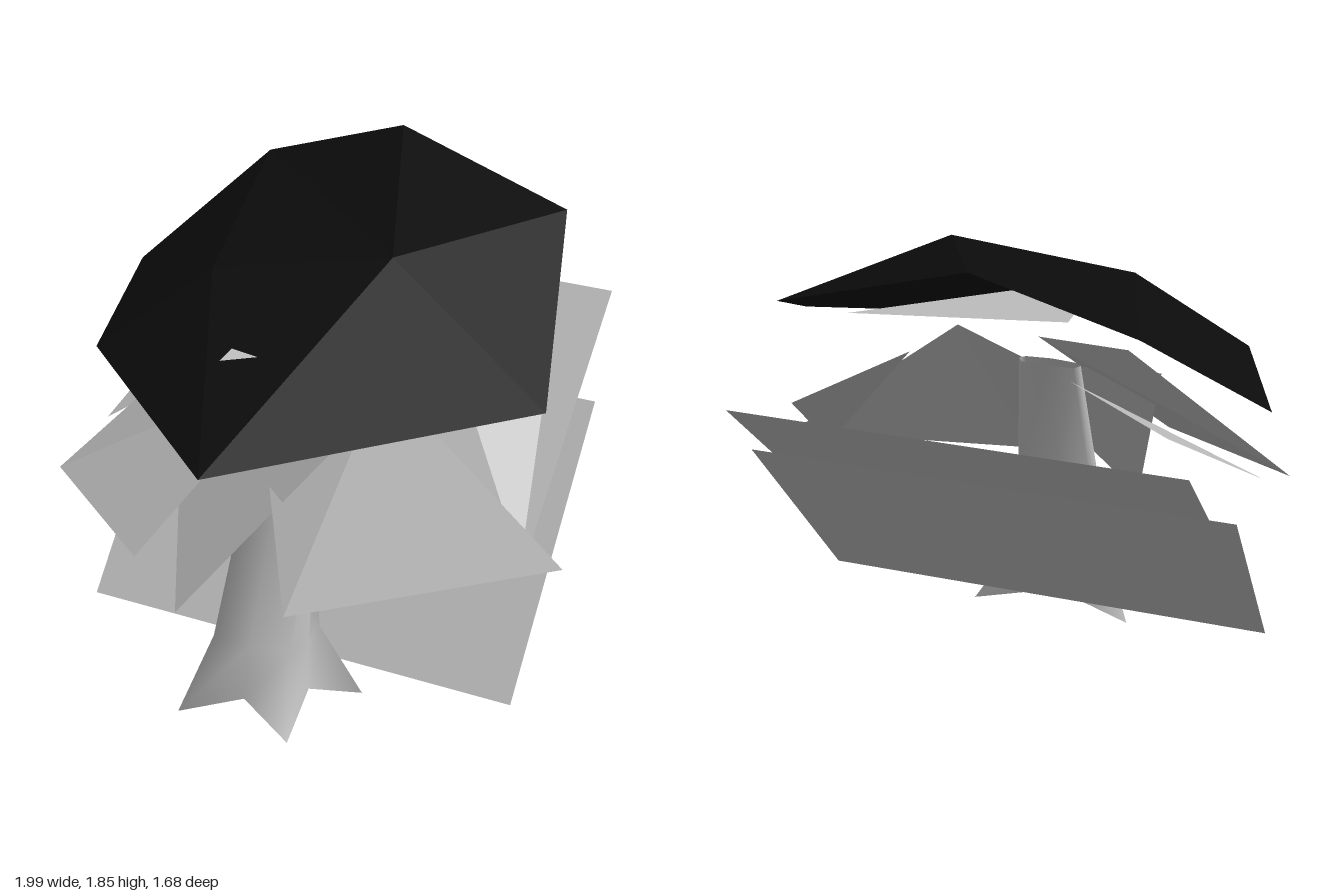
import * as THREE from 'three';

const leafGrey = new THREE.MeshStandardMaterial({ color: 0xc0c0c0, side: THREE.DoubleSide });
leafGrey.name = 'pale grey';
const canopyBlack = new THREE.MeshStandardMaterial({ color: 0x0c0c0c, side: THREE.DoubleSide });
canopyBlack.name = 'black';

// Mesh from corner points and triangles; flat unless smooth is set
function facets(name, points, faces, material, smooth = false) {
  let geometry = new THREE.BufferGeometry();
  geometry.setAttribute('position', new THREE.Float32BufferAttribute(points.flat(), 3));
  geometry.setIndex(faces.flat());
  if (!smooth) geometry = geometry.toNonIndexed();
  geometry.computeVertexNormals();
  const mesh = new THREE.Mesh(geometry, material);
  mesh.name = name;
  return mesh;
}

// Flat card with three or four corners
function card(name, ...corners) {
  const faces = corners.length === 4 ? [[0, 1, 2], [0, 2, 3]] : [[0, 1, 2]];
  return facets(name, corners, faces, leafGrey);
}

// Trunk: eight-sided rings, with the lowest ring pulled out into four root tips
function trunk() {
  const points = [
    [-0.28, 0.01, 0.7], [-0.06, 0.07, 0.6], [0.17, 0.01, 0.7], [0.12, 0.075, 0.44],
    [0.26, 0.01, 0.285], [-0.06, 0.07, 0.35], [-0.37, 0.01, 0.285], [-0.22, 0.075, 0.44],
  ];
  // height, left, right, front, back
  const rings = [
    [0.27, -0.23, 0.12, 0.56, 0.315],
    [0.62, -0.22, 0.1, 0.4, 0.31],
    [1.12, -0.18, 0.06, 0.27, 0.21],
  ];
  for (const [y, l, r, f, b] of rings) {
    const x = (l + r) / 2, z = (f + b) / 2, inset = 0.02;
    points.push(
      [l + inset, y, f - 0.01], [x, y, f], [r - inset, y, f - 0.01], [r, y, z],
      [r - inset, y, b], [x, y, b], [l + inset, y, b], [l, y, z],
    );
  }
  const faces = [];
  for (let k = 0; k < rings.length; k++) {
    for (let i = 0; i < 8; i++) {
      const a = k * 8 + i, b = k * 8 + ((i + 1) % 8);
      faces.push([a, b, b + 8], [a, b + 8, a + 8]);
    }
  }
  return facets('trunk', points, faces, leafGrey, true);
}

// Canopy: seven-sided faceted dome, tilted forward, with two inner peaks
function canopy() {
  const points = [
    [-1, 1.31, -0.3], [-0.64, 1.69, -0.69], [-0.08, 1.86, -0.72], [0.61, 1.65, -0.67],
    [0.89, 1.24, 0.18], [-0.08, 1.06, 0.84], [-0.78, 1.23, 0.37],
    [0.26, 1.65, 0.07], [-0.39, 1.54, 0.19],
  ];
  const faces = [
    [7, 3, 2], [7, 4, 3], [7, 5, 4], [7, 8, 5], [7, 2, 1], [7, 1, 8],
    [8, 6, 5], [8, 0, 6], [8, 1, 0],
  ];
  return facets('canopy', points, faces, canopyBlack);
}

export function createModel() {
  const model = new THREE.Group();
  model.name = 'tree';
  model.add(trunk(), canopy());

  // Drooping leaf cards under the canopy
  model.add(
    card('leftFrontLeaf', [0.15, 0.51, 0.68], [0.99, 0.68, 0.21], [0.28, 1.25, 0.18], [-0.1, 1.0, 0.35]),
    card('rightFrontLeaf', [-0.96, 0.71, 0.39], [-0.4, 0.65, 0.76], [-0.03, 1.24, 0.19], [-0.41, 1.3, 0.05]),
    card('middleLeaf', [-0.31, 0.39, 0.65], [0.19, 1.03, 0.38], [-0.48, 1.12, 0.27]),
    card('leftSideLeaf', [0.83, 0.66, 0.2], [0.61, 1.24, -0.6], [0.31, 1.32, -0.24]),
    card('rightSideLeaf', [-0.91, 0.82, 0.13], [-0.25, 1.24, -0.14], [-0.7, 1.27, -0.52]),
    card('upperLeaf', [-0.17, 1.355, 0.53], [0.6, 1.37, -0.1], [-0.2, 1.4, 0]),
  );

  // Large slanted cards behind the tree
  model.add(
    card('lowerBackCard', [-0.93, 0.1, 0.24], [0.83, 0.1, 0.24], [0.815, 0.985, -0.515], [-0.945, 0.99, -0.52]),
    card('upperBackCard', [-0.84, 0.575, -0.07], [0.755, 0.57, -0.07], [0.745, 1.3, -0.83], [-0.85, 1.305, -0.84]),
  );
  return model;
}
